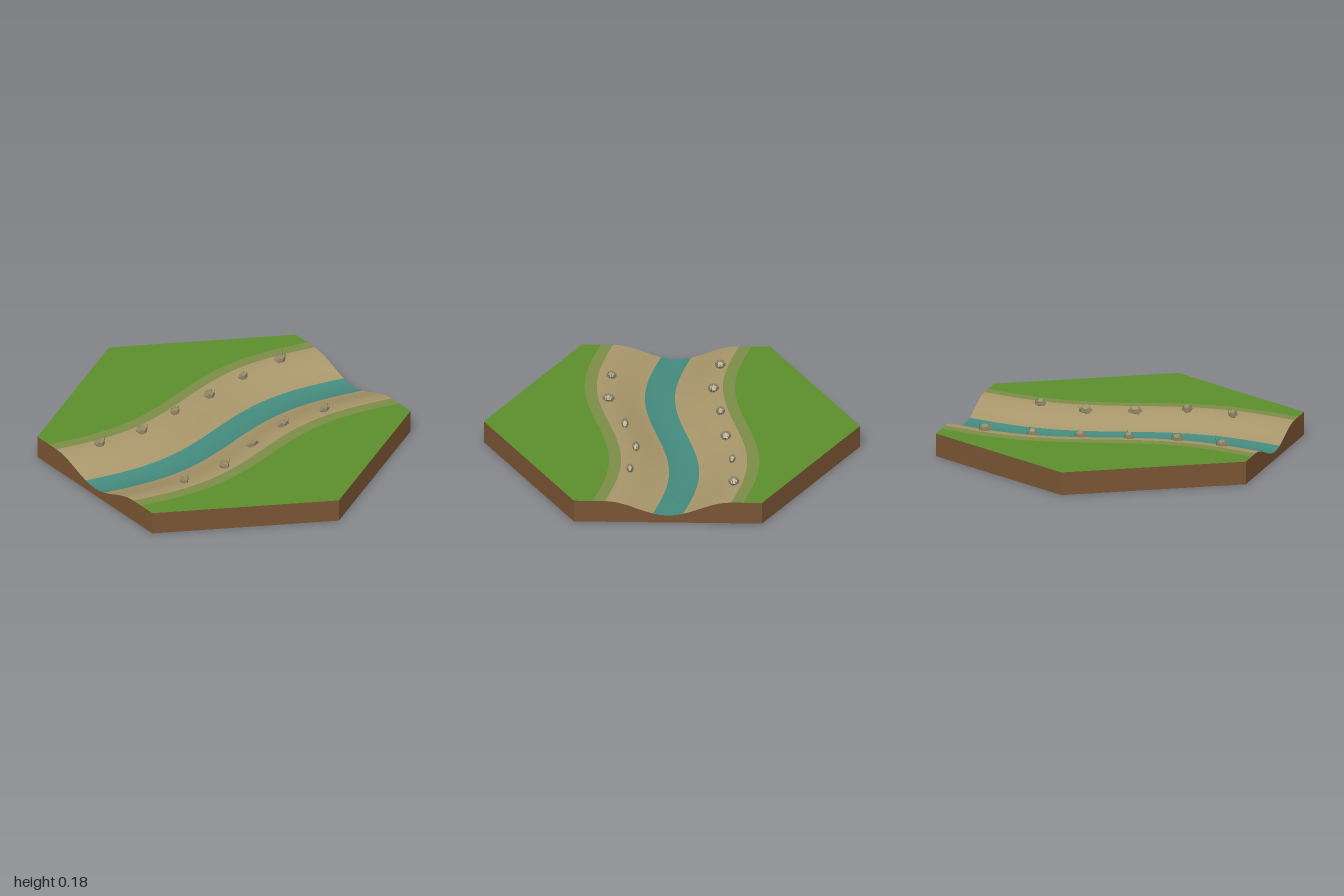
import * as THREE from 'three';

const HALF = Math.sqrt(3) / 2; // half width of the hexagon (points at +z and -z)
const TOP = 0.125, BED = 0.042, BANK = 0.335;
const riverZ = x => -0.075 * Math.sin(x * Math.PI / HALF);
const groundY = (x, z) => {
  const t = Math.min(Math.abs(z - riverZ(x)) / BANK, 1);
  return BED + (TOP - BED) * 0.5 * (1 - Math.cos(Math.PI * t));
};

const mat = (name, color, extra = {}) => Object.assign(new THREE.MeshStandardMaterial({ color, ...extra }), { name });

export function createModel() {
  const grass = mat('grass', 0x5b8f2b);
  const verge = mat('verge', 0x7b8d47);
  const sand = mat('sand', 0xa8966a);
  const water = mat('water', 0x448a7e);
  const earth = mat('earth', 0x7a5533);
  const stone = mat('stone', 0x918565, { flatShading: true });
  const reed = mat('reed', 0x56703a, { flatShading: true });

  const group = new THREE.Group();
  group.name = 'riverTile';
  const add = (parent, geometry, material, name) => {
    const mesh = new THREE.Mesh(geometry, material);
    mesh.name = name;
    parent.add(mesh);
    return mesh;
  };

  // Ground surface: rows follow the river, one colour per band
  const half = [0.4, BANK, 0.3, 0.265, 0.23, 0.195, 0.16, 0.12, 0.08, 0.04];
  const offsets = [...half.map(d => -d), 0, ...half.slice().reverse()];
  const rowsAt = x => {
    const edge = 1 - Math.abs(x) / Math.sqrt(3);
    return [-edge, ...offsets.map(d => riverZ(x) + d), edge];
  };
  const COLS = 48, rows = offsets.length + 2;
  const pos = [], index = [];
  for (let c = 0; c <= COLS; c++) {
    const x = -HALF + 2 * HALF * c / COLS;
    for (const z of rowsAt(x)) pos.push(x, groundY(x, z), z);
  }
  const ground = new THREE.BufferGeometry();
  for (let r = 0; r < rows - 1; r++) {
    const start = index.length;
    for (let c = 0; c < COLS; c++) {
      const a = c * rows + r, b = a + rows;
      index.push(a, a + 1, b + 1, a, b + 1, b);
    }
    const mid = r === 0 || r === rows - 2 ? 1 : Math.abs(offsets[r - 1] + offsets[r]) / 2;
    const band = mid > 0.4 ? 0 : mid > BANK ? 1 : mid > 0.08 ? 2 : 3;
    ground.addGroup(start, index.length - start, band);
  }
  ground.setAttribute('position', new THREE.Float32BufferAttribute(pos, 3));
  ground.setIndex(index);
  ground.computeVertexNormals();
  add(group, ground, [grass, verge, sand, water], 'ground');

  // Earth walls, cut by the river at both ends, and the underside
  const endZ = rowsAt(HALF);
  const rim = [[0, 1], ...endZ.slice().reverse().map(z => [HALF, z]), [0, -1], ...endZ.map(z => [-HALF, z])];
  const tri = [];
  rim.forEach(([x0, z0], i) => {
    const [x1, z1] = rim[(i + 1) % rim.length];
    const y0 = groundY(x0, z0), y1 = groundY(x1, z1);
    tri.push(x0, 0, z0, x1, 0, z1, x1, y1, z1, x0, 0, z0, x1, y1, z1, x0, y0, z0);
    tri.push(0, 0, 0, x1, 0, z1, x0, 0, z0);
  });
  const base = new THREE.BufferGeometry();
  base.setAttribute('position', new THREE.Float32BufferAttribute(tri, 3));
  base.computeVertexNormals();
  add(group, base, earth, 'earthBase');

  // Bank stones [x, z, radius x, radius z, reed height]
  const stones = [
    [-0.65, -0.24, 0.031, 0.029, 0.06], [-0.39, -0.21, 0.031, 0.031, 0.06],
    [-0.135, -0.255, 0.025, 0.025, 0.055], [0.125, -0.29, 0.032, 0.03, 0.045],
    [0.38, -0.33, 0.027, 0.018, 0.05], [0.64, -0.345, 0.034, 0.031, 0.055],
    [-0.525, 0.335, 0.021, 0.028, 0.055], [-0.265, 0.345, 0.025, 0.034, 0.055],
    [-0.005, 0.25, 0.04, 0.02, 0.03], [0.25, 0.185, 0.037, 0.021, 0.055],
    [0.51, 0.21, 0.028, 0.02, 0.055],
  ];
  const stoneGeo = new THREE.DodecahedronGeometry(1, 0);
  const bladeGeo = new THREE.ConeGeometry(0.0028, 1, 3).translate(0, 0.5, 0);
  stones.forEach(([x, z, rx, rz, h], i) => {
    const spot = new THREE.Group();
    spot.name = 'bankStone';
    spot.position.set(x, groundY(x, z), z);
    group.add(spot);
    const rock = add(spot, stoneGeo, stone, 'stone');
    rock.scale.set(rx, 0.026, rz);
    rock.position.y = 0.011;
    // Reed blades beside the stone
    for (let k = 0; k < 4; k++) {
      const blade = add(spot, bladeGeo, reed, 'reedBlade');
      const a = k * 1.7 + i;
      blade.position.set(rx * 0.8 + 0.006 * Math.cos(a), 0, 0.008 * Math.sin(a));
      blade.rotation.set(0.16 * Math.sin(a), 0, -0.16 * Math.cos(a));
      blade.scale.y = h * (1 - 0.15 * k);
    }
  });
  return group;
}
